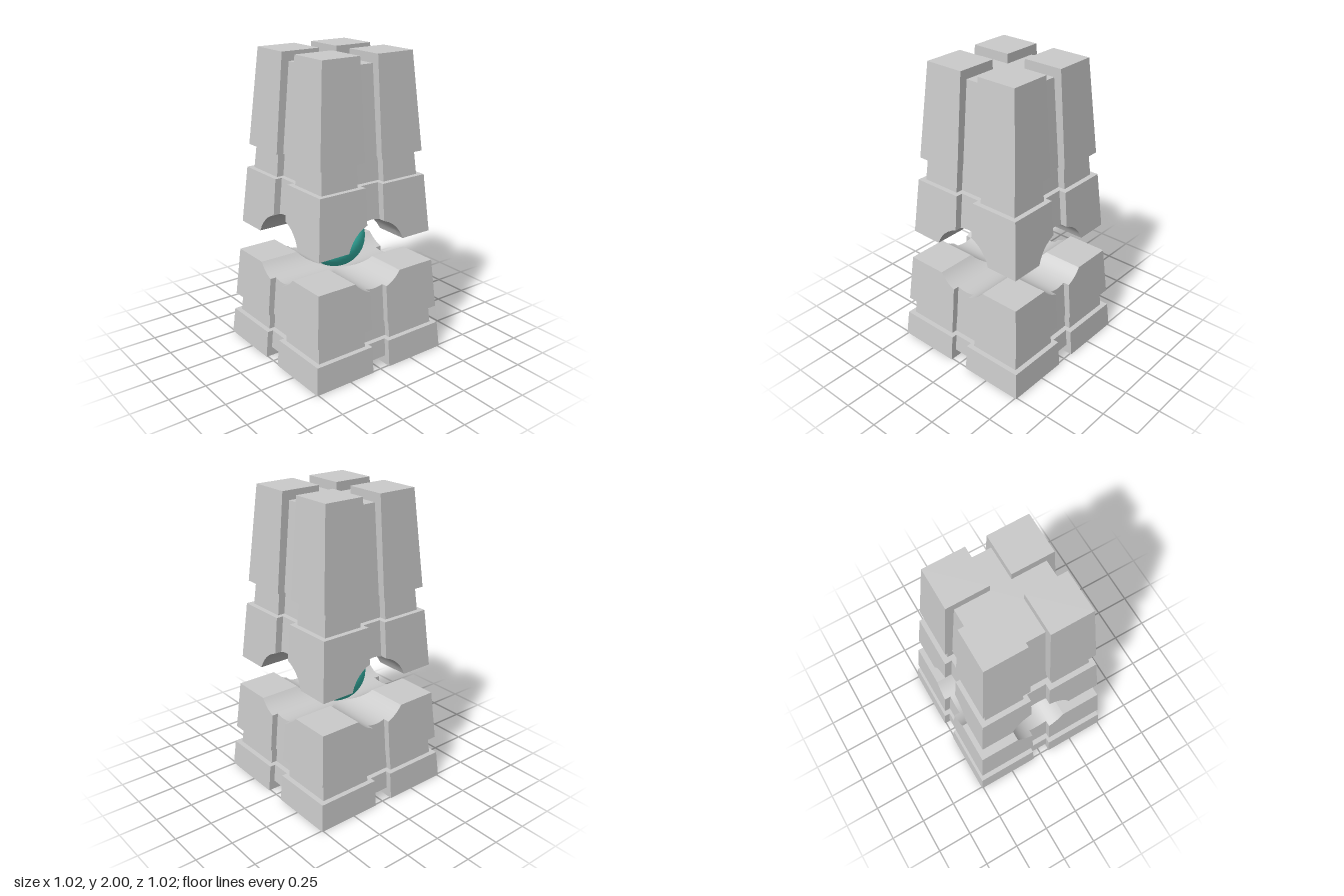
import * as THREE from 'three';
import { toCreasedNormals } from 'three/addons/utils/BufferGeometryUtils.js';

const SLOT = 0.067;           // half width of the vertical slots
const INSET = 0.034;          // depth of the horizontal bands
const R = 0.225, CY = 0.77;   // crossing bores around the orb
const outer = y => 0.51 - 0.086 * y;     // half width of the corner blocks
const floor = y => 0.4725 - 0.094 * y;   // half width of the core

// Height of the surface left by the two crossing bores, clipped to a flat level
const bore = (level, sign) => m =>
  m >= Math.sqrt(R * R - (level - CY) ** 2) ? level : CY + sign * Math.sqrt(R * R - m * m);
const flat = y => () => y;

// Grid lines across the bore, up to where it meets the flat level
function boreLines(level) {
  const max = Math.acos(Math.abs(level - CY) / R);
  return Array.from({ length: 8 }, (_, k) => R * Math.sin(max * (k + 1) / 8) + (k === 7 ? 1e-6 : 0));
}

// Tapered square solid: infinite axis entries follow the tapering edge
function solid(axis, edge, bottom, top) {
  const pos = [], n = axis.length - 1;
  const point = (i, j, height) => {
    const y = height(Math.min(Math.abs(axis[i]), Math.abs(axis[j])));
    const at = v => (Number.isFinite(v) ? v : Math.sign(v) * edge(y));
    return [at(axis[i]), y, at(axis[j])];
  };
  const quad = (a, b, c, d) => pos.push(...a, ...b, ...c, ...a, ...c, ...d);
  for (let i = 0; i < n; i++) {
    for (let j = 0; j < n; j++) {
      const cap = h => [point(i, j, h), point(i, j + 1, h), point(i + 1, j + 1, h), point(i + 1, j, h)];
      const turn = (axis[i] + axis[i + 1]) * (axis[j] + axis[j + 1]) < 0;
      const [a, b, c, d] = cap(top), [e, f, g, h] = cap(bottom);
      if (turn) { quad(b, c, d, a); quad(g, f, e, h); }
      else { quad(a, b, c, d); quad(e, h, g, f); }
    }
    const wall = (i0, j0, i1, j1) =>
      quad(point(i0, j0, bottom), point(i1, j1, bottom), point(i1, j1, top), point(i0, j0, top));
    wall(i, n, i + 1, n);
    wall(i + 1, 0, i, 0);
    wall(n, i + 1, n, i);
    wall(0, i, 0, i + 1);
  }
  const geo = new THREE.BufferGeometry();
  geo.setAttribute('position', new THREE.Float32BufferAttribute(pos, 3));
  return toCreasedNormals(geo, 0.35);
}

export function createModel() {
  const model = new THREE.Group();
  const grey = new THREE.MeshStandardMaterial({ color: 0xcccccc });
  const teal = new THREE.MeshStandardMaterial({ color: 0x40d0c0 });

  const add = (name, geo, material = grey, turn = 0) => {
    const mesh = new THREE.Mesh(geo, material);
    mesh.name = name;
    mesh.rotation.y = turn * Math.PI / 2;
    model.add(mesh);
  };

  // One storey: a square core with four corner blocks around it
  function storey(name, bottom, top, { inset = 0, lines = [], coreBottom = bottom, coreTop = top } = {}) {
    const coreAxis = [-Infinity, ...lines.map(v => -v).reverse(), 0, ...lines, Infinity];
    add(name + 'Core', solid(coreAxis, y => floor(y) - inset, coreBottom, coreTop));
    const start = SLOT + inset;
    const block = solid([start, ...lines.filter(v => v > start), Infinity], y => outer(y) - inset, bottom, top);
    for (let k = 0; k < 4; k++) add(name + 'Corner' + (k + 1), block, grey, k);
  }

  // Lower half: foot, recessed band, cradle under the orb
  storey('foot', flat(0), flat(0.18), { coreBottom: flat(0.06) });
  storey('lowerBand', flat(0.18), flat(0.3), { inset: INSET });
  storey('cradle', flat(0.3), bore(0.635, -1), { lines: boreLines(0.635) });

  // Upper half: vault over the orb, recessed band, crown
  storey('vault', bore(0.84, 1), flat(1.22), { lines: boreLines(0.84) });
  storey('upperBand', flat(1.22), flat(1.375), { inset: INSET });
  storey('crown', flat(1.375), flat(2), { coreTop: flat(1.94) });

  // Floating orb
  const orb = new THREE.SphereGeometry(0.204, 40, 24);
  orb.translate(0, CY, 0);
  add('orb', orb, teal);
  return model;
}
